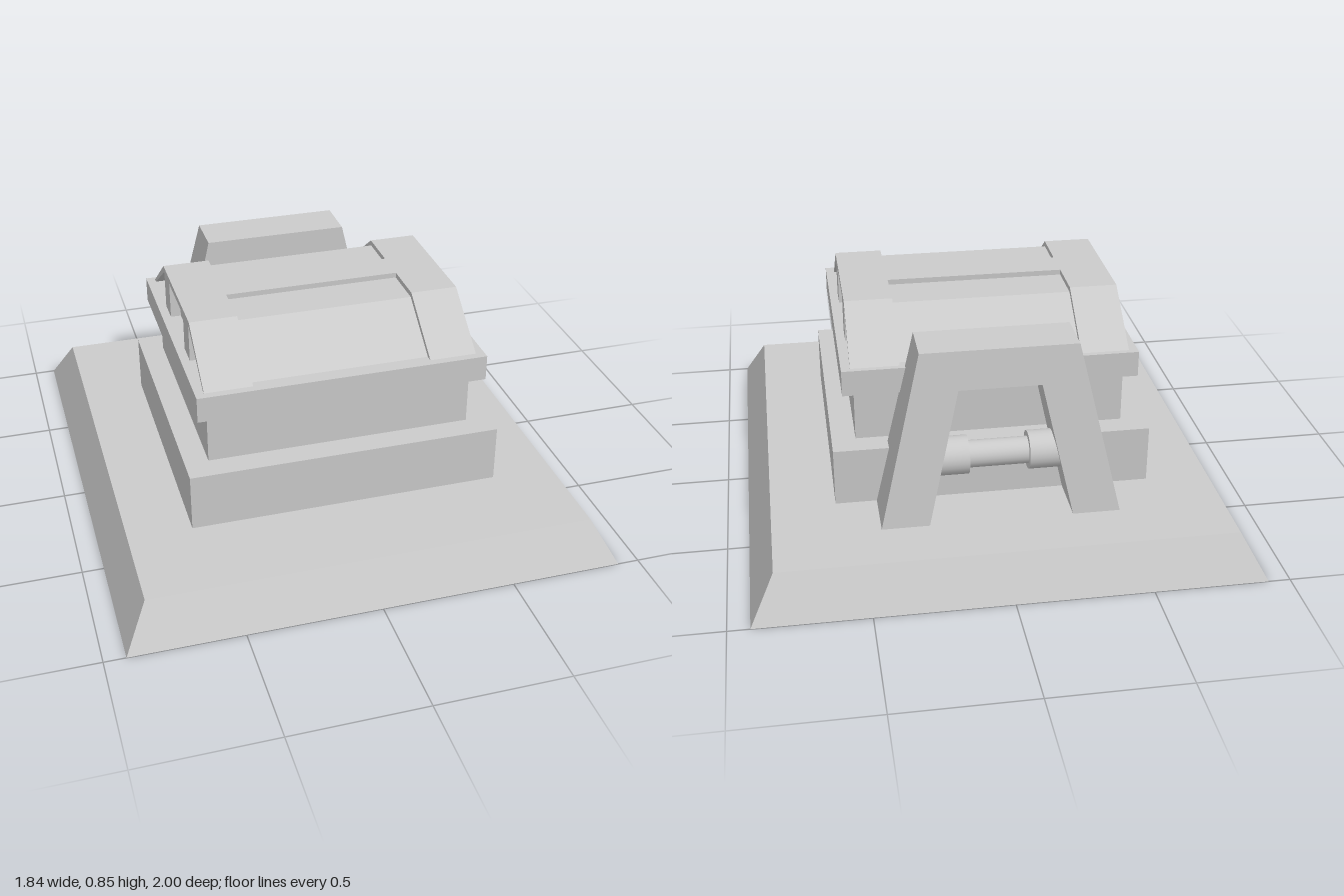
import * as THREE from 'three';

const mat = new THREE.MeshStandardMaterial({ color: 0xcccccc, flatShading: true });
const openMat = new THREE.MeshStandardMaterial({ color: 0xcccccc, flatShading: true, side: THREE.DoubleSide });
const smoothMat = new THREE.MeshStandardMaterial({ color: 0xcccccc });

const ROOF_Z = 0.025; // middle of the roof along z

function add(parent, name, geometry, material = mat) {
  const mesh = new THREE.Mesh(geometry, material);
  mesh.name = name;
  parent.add(mesh);
  return mesh;
}

// Box given by half width, y range and z range
function tier(parent, name, hx, y0, y1, z0, z1) {
  const g = new THREE.BoxGeometry(hx * 2, y1 - y0, z1 - z0);
  g.translate(0, (y0 + y1) / 2, (z0 + z1) / 2);
  return add(parent, name, g);
}

function shapeOf(points) {
  return new THREE.Shape(points.map(([x, y]) => new THREE.Vector2(x, y)));
}

// Closed outline from its +z half, mirrored about the middle
function mirrored(half) {
  return shapeOf([...half, ...half.map(([z, y]) => [-z, y]).reverse()]);
}

// Profile in (z, y) extruded along x from x0 to x1
function roofSlab(parent, name, shape, x0, x1) {
  const g = new THREE.ExtrudeGeometry(shape, { depth: x1 - x0, bevelEnabled: false });
  g.rotateY(-Math.PI / 2);
  g.translate(x1, 0, ROOF_Z);
  return add(parent, name, g);
}

// Hollow plinth with sloping sides and no floor
function plinthGeometry() {
  const g = new THREE.BoxGeometry(1.84, 0.16, 2);
  g.translate(0, 0.08, 0);
  const p = g.attributes.position;
  for (let i = 0; i < p.count; i++) {
    if (p.getY(i) > 0.1) {
      p.setX(i, Math.sign(p.getX(i)) * 0.832);
      p.setZ(i, Math.sign(p.getZ(i)) * 0.91);
    }
  }
  const index = Array.from(g.index.array);
  index.splice(18, 6);
  g.setIndex(index);
  g.clearGroups();
  g.computeVertexNormals();
  return g;
}

// Tapered arch: upright front, back leaning in towards the top
function archGeometry() {
  const shape = shapeOf([
    [-0.44, 0.155], [-0.265, 0.155], [-0.15, 0.67], [0.15, 0.67],
    [0.265, 0.155], [0.44, 0.155], [0.285, 0.815], [-0.285, 0.815],
  ]);
  const g = new THREE.ExtrudeGeometry(shape, { depth: 1, bevelEnabled: false });
  const p = g.attributes.position;
  for (let i = 0; i < p.count; i++) {
    const back = -0.70 + (p.getY(i) - 0.16) * (0.075 / 0.655);
    p.setZ(i, p.getZ(i) < 0.5 ? back : -0.445);
  }
  g.computeVertexNormals();
  return g;
}

function rod(parent, name, radius, x0, x1) {
  const g = new THREE.CylinderGeometry(radius, radius, x1 - x0, 24);
  g.rotateZ(Math.PI / 2);
  g.translate((x0 + x1) / 2, 0.38, -0.585);
  return add(parent, name, g, smoothMat);
}

export function createModel() {
  const model = new THREE.Group();
  model.name = 'steppedBlockhouse';

  add(model, 'plinth', plinthGeometry(), openMat);

  // Stepped body
  tier(model, 'lowerTier', 0.592, 0.15, 0.38, -0.50, 0.56);
  tier(model, 'middleTier', 0.503, 0.38, 0.585, -0.41, 0.465);
  tier(model, 'rim', 0.547, 0.585, 0.683, -0.46, 0.52);

  // Roof: sunken centre with a raised ridge strip, and full-height ends
  const roof = new THREE.Group();
  roof.name = 'roof';
  model.add(roof);
  const centre = mirrored([[0.438, 0.683], [0.235, 0.83], [0.065, 0.83], [0.065, 0.85]]);
  const full = mirrored([[0.465, 0.683], [0.24, 0.85]]);
  // Gable frame with three openings that run down to the rim
  const frame = mirrored([
    [0.465, 0.683], [0.24, 0.85],
  ].concat([]));
  const gable = mirrored([
    [0.13, 0.683], [0.225, 0.683], [0.225, 0.825], [0.235, 0.825],
    [0.445, 0.683], [0.465, 0.683], [0.24, 0.85],
  ]);
  // Close the gable outline around the middle opening
  const outline = gable.getPoints();
  const inner = [new THREE.Vector2(-0.13, 0.825), new THREE.Vector2(0.13, 0.825)];
  const gableFrame = new THREE.Shape([...outline, ...inner]);

  roofSlab(roof, 'roofCentre', centre, -0.335, 0.335);
  for (const s of [1, -1]) {
    const side = s > 0 ? 'left' : 'right';
    const span = (a, b) => (s > 0 ? [a, b] : [-b, -a]);
    roofSlab(roof, side + 'RoofEnd', full, ...span(0.335, 0.475));
    roofSlab(roof, side + 'GableFrame', gableFrame, ...span(0.475, 0.514));
  }

  // Rear arch with a collared bar between its legs
  const rear = new THREE.Group();
  rear.name = 'rearArch';
  model.add(rear);
  add(rear, 'arch', archGeometry());
  rod(rear, 'bar', 0.05, -0.2, 0.2);
  rod(rear, 'leftCollar', 0.071, 0.11, 0.24);
  rod(rear, 'rightCollar', 0.071, -0.24, -0.11);

  return model;
}
